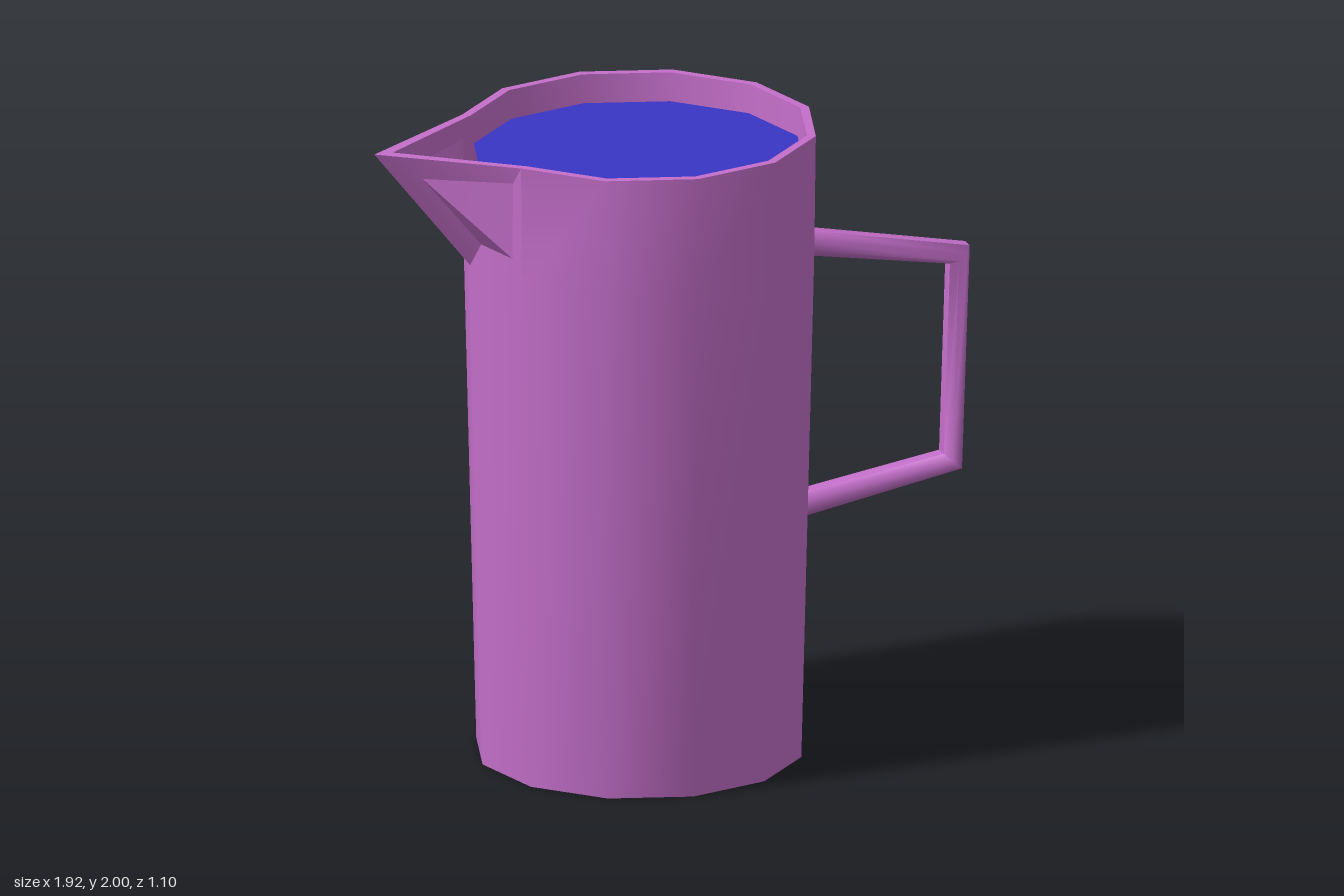
import * as THREE from 'three';
import { toCreasedNormals } from 'three/addons/utils/BufferGeometryUtils.js';

const SIDES = 12;
const CENTRE_X = -0.105;

// Skin a list of rings (arrays of Vector3); the diagonals mirror halfway round.
function loft(rings, crease) {
  const positions = [];
  const tri = (a, b, c) => {
    const area = new THREE.Triangle(a, b, c).getArea();
    if (area > 1e-8) for (const p of [a, b, c]) positions.push(p.x, p.y, p.z);
  };
  for (let i = 0; i < rings.length - 1; i++) {
    const low = rings[i], high = rings[i + 1], n = low.length;
    for (let j = 0; j < n; j++) {
      const k = (j + 1) % n;
      if (j < n / 2) {
        tri(low[k], low[j], high[j]);
        tri(low[k], high[j], high[k]);
      } else {
        tri(low[k], low[j], high[k]);
        tri(low[j], high[j], high[k]);
      }
    }
  }
  const geometry = new THREE.BufferGeometry();
  geometry.setAttribute('position', new THREE.Float32BufferAttribute(positions, 3));
  return toCreasedNormals(geometry, crease);
}

// Horizontal ring of the jug; spoutX pulls the -x corner out to a lip.
function jugRing(radius, y, spoutX) {
  const ring = [];
  for (let j = 0; j < SIDES; j++) {
    const a = (j / SIDES) * Math.PI * 2;
    ring.push(new THREE.Vector3(CENTRE_X + radius * Math.cos(a), y, radius * Math.sin(a)));
  }
  if (spoutX !== undefined) ring[SIDES / 2].set(spoutX, y, 0);
  return ring;
}

// Octagonal mitred section of the handle between an outer and an inner point.
function handleRing([ox, oy, ix, iy]) {
  const ring = [], n = 8, grow = 1 / Math.cos(Math.PI / n);
  for (let j = 0; j < n; j++) {
    const a = ((j + 0.5) / n) * Math.PI * 2;
    const c = (Math.cos(a) * grow) / 2;
    ring.push(new THREE.Vector3(
      (ox + ix) / 2 + (ox - ix) * c,
      (oy + iy) / 2 + (oy - iy) * c,
      0.053 * grow * Math.sin(a)
    ));
  }
  return ring;
}

export function createModel() {
  const group = new THREE.Group();
  group.name = 'pitcher';
  const plastic = new THREE.MeshStandardMaterial({ color: 0xc46fca, side: THREE.DoubleSide });
  const blue = new THREE.MeshStandardMaterial({ color: 0x3a35c4 });
  const add = (name, geometry, material) => {
    const mesh = new THREE.Mesh(geometry, material);
    mesh.name = name;
    group.add(mesh);
    return mesh;
  };

  // Tapered shell: base, outer wall, rim with pouring lip, inner wall, floor
  add('jugBody', loft([
    jugRing(0, 0),
    jugRing(0.505, 0),
    jugRing(0.545, 1.61),
    jugRing(0.55, 2, -0.96),
    jugRing(0.522, 2, -0.9),
    jugRing(0.51, 1.65),
    jugRing(0.475, 0.04),
    jugRing(0, 0.04),
  ], 0.6), plastic);

  // Handle, from the lower joint round to the upper one
  add('handle', loft([
    [0.40, 0.688, 0.40, 0.764],
    [0.932, 0.79, 0.873, 0.843],
    [0.957, 1.505, 0.893, 1.453],
    [0.42, 1.612, 0.42, 1.532],
  ].map(handleRing), 1.2), plastic);

  // Liquid surface just under the rim
  const liquid = add('liquid', new THREE.CircleGeometry(0.513, SIDES), blue);
  liquid.rotation.x = -Math.PI / 2;
  liquid.position.set(CENTRE_X, 1.91, 0);

  return group;
}
